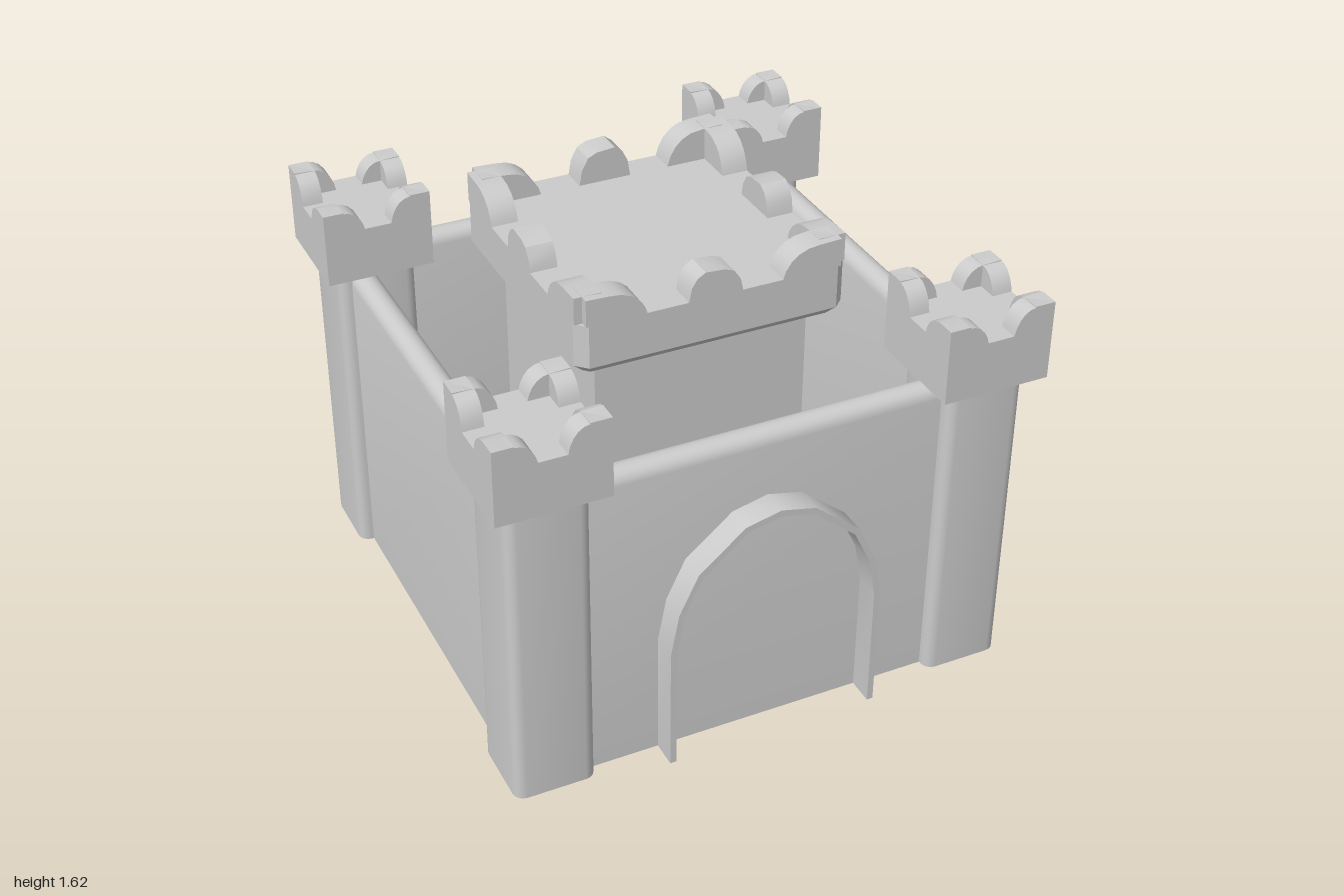
import * as THREE from 'three';
import { toCreasedNormals } from 'three/addons/utils/BufferGeometryUtils.js';

const material = new THREE.MeshStandardMaterial({ color: 0xcccccc });
const openMaterial = new THREE.MeshStandardMaterial({ color: 0xcccccc, side: THREE.DoubleSide });

function addMesh(parent, name, geometry, mat = material) {
  const mesh = new THREE.Mesh(toCreasedNormals(geometry, 0.6), mat);
  mesh.name = name;
  parent.add(mesh);
  return mesh;
}

// Square ring of half width h at height y, corners cut by r in n segments
function squareRing(h, r, y, n) {
  const ring = [];
  for (let q = 0; q < 4; q++) {
    const mid = Math.PI / 4 + q * Math.PI / 2;
    const cx = Math.sign(Math.cos(mid)) * (h - r), cz = Math.sign(Math.sin(mid)) * (h - r);
    for (let i = 0; i <= n; i++) {
      const a = (q + i / n) * Math.PI / 2;
      ring.push(new THREE.Vector3(cx + r * Math.cos(a), y, cz + r * Math.sin(a)));
    }
  }
  return ring;
}

// Joins rings from bottom to top, optionally closing both ends
function loft(rings, closed) {
  const points = [];
  const count = rings[0].length;
  const last = rings.length - 1;
  for (let i = 0; i < count; i++) {
    const j = (i + 1) % count;
    for (let k = 0; k < last; k++) {
      const a = rings[k][i], b = rings[k][j], c = rings[k + 1][j], d = rings[k + 1][i];
      points.push(a, d, b, d, c, b);
    }
    if (closed) {
      points.push(new THREE.Vector3(0, rings[0][0].y, 0), rings[0][i], rings[0][j]);
      points.push(new THREE.Vector3(0, rings[last][0].y, 0), rings[last][j], rings[last][i]);
    }
  }
  return new THREE.BufferGeometry().setFromPoints(points);
}

function extrude(points, depth) {
  const shape = new THREE.Shape(points.map(([x, y]) => new THREE.Vector2(x, y)));
  return new THREE.ExtrudeGeometry(shape, { depth, bevelEnabled: false });
}

// One arm of a corner merlon: tall at the corner, rounding down to its end
function armGeometry(length, height, thickness, start) {
  const curve = [[1, 0], [0.96, 0.28], [0.88, 0.56], [0.77, 0.78], [0.63, 0.92], [0.45, 0.97]];
  return extrude([[start, 0], ...curve.map(([x, y]) => [x * length, y * height]), [start, height]], thickness);
}

// Four L-shaped corner merlons around a square of half width h
function addCornerMerlons(parent, h, y, length, thickness, start, heights) {
  heights.forEach((height, i) => {
    const side = new THREE.Group();
    side.name = 'cornerMerlon';
    side.rotation.y = -i * Math.PI / 2;
    parent.add(side);
    const arm = armGeometry(length, height, thickness, start);
    const other = arm.clone().rotateY(-Math.PI / 2).translate(thickness, 0, 0);
    for (const g of [arm, other]) addMesh(side, 'merlonArm', g.translate(-h, y, -h));
  });
}

export function createModel() {
  const castle = new THREE.Group();
  castle.name = 'castle';

  // Corner towers with crenellated tops
  const towerGeometry = loft([squareRing(0.148, 0.04, 0, 4), squareRing(0.148, 0.04, 1.2, 4)], false);
  for (const sx of [-1, 1]) {
    for (const sz of [-1, 1]) {
      const tower = new THREE.Group();
      tower.name = 'cornerTower';
      tower.position.set(sx * 0.8, 0, sz * 0.8);
      castle.add(tower);
      addMesh(tower, 'towerShaft', towerGeometry, openMaterial);
      addMesh(tower, 'towerTop', new THREE.BoxGeometry(0.4, 0.2, 0.4).translate(0, 1.3, 0));
      addCornerMerlons(tower, 0.2, 1.4, 0.15, 0.075, 0, [0.1, 0.085, 0.095, 0.08]);
    }
  }

  // Curtain walls with rounded tops
  const section = [[-0.05, 0], [0.05, 0]];
  for (let i = 0; i <= 8; i++) {
    const a = i / 8 * Math.PI;
    section.push([0.05 * Math.cos(a), 1.15 + 0.05 * Math.sin(a)]);
  }
  const wallGeometry = extrude(section, 1.44).translate(0, 0, -0.72).rotateY(Math.PI / 2).translate(0, 0, 0.85);
  for (let i = 0; i < 4; i++) {
    addMesh(castle, 'curtainWall', wallGeometry).rotation.y = i * Math.PI / 2;
  }

  // Gate arch frame standing out from the front wall
  const outer = [[0.4, 0], [0.4, 0.48], [0.37, 0.64], [0.3, 0.785], [0.13, 0.925]];
  const inner = [[0.377, 0], [0.377, 0.48], [0.35, 0.63], [0.285, 0.765], [0.122, 0.903]];
  const arch = (half, top) => [...half, [0, top], ...half.map(([x, y]) => [-x, y]).reverse()];
  const frame = [...arch(outer, 0.955), ...arch(inner, 0.93).reverse()];
  addMesh(castle, 'gateArch', extrude(frame, 0.11).translate(0, 0, 0.89));

  // Central keep with an overhanging, chamfered top
  const keep = new THREE.Group();
  keep.name = 'keep';
  castle.add(keep);
  addMesh(keep, 'keepBody', new THREE.BoxGeometry(0.8, 1.3, 0.8).translate(0, 0.65, 0));
  addMesh(keep, 'keepTop', loft([
    squareRing(0.46, 0.02, 1.3, 1), squareRing(0.5, 0.04, 1.34, 1), squareRing(0.5, 0.04, 1.5, 1),
  ], true));
  addCornerMerlons(keep, 0.5, 1.5, 0.25, 0.1, 0.03, [0.11, 0.125, 0.105, 0.1]);

  // Middle merlon on each side of the keep
  const bump = [[-0.1, 0], [0.1, 0], [0.09, 0.5], [0.07, 0.82], [0.04, 1], [-0.03, 0.95], [-0.065, 0.82], [-0.09, 0.45]];
  [0.125, 0.105, 0.1, 0.1].forEach((height, i) => {
    const g = extrude(bump.map(([x, y]) => [x, y * height]), 0.1).translate(0, 1.5, -0.5);
    addMesh(keep, 'middleMerlon', g).rotation.y = -i * Math.PI / 2;
  });

  return castle;
}
